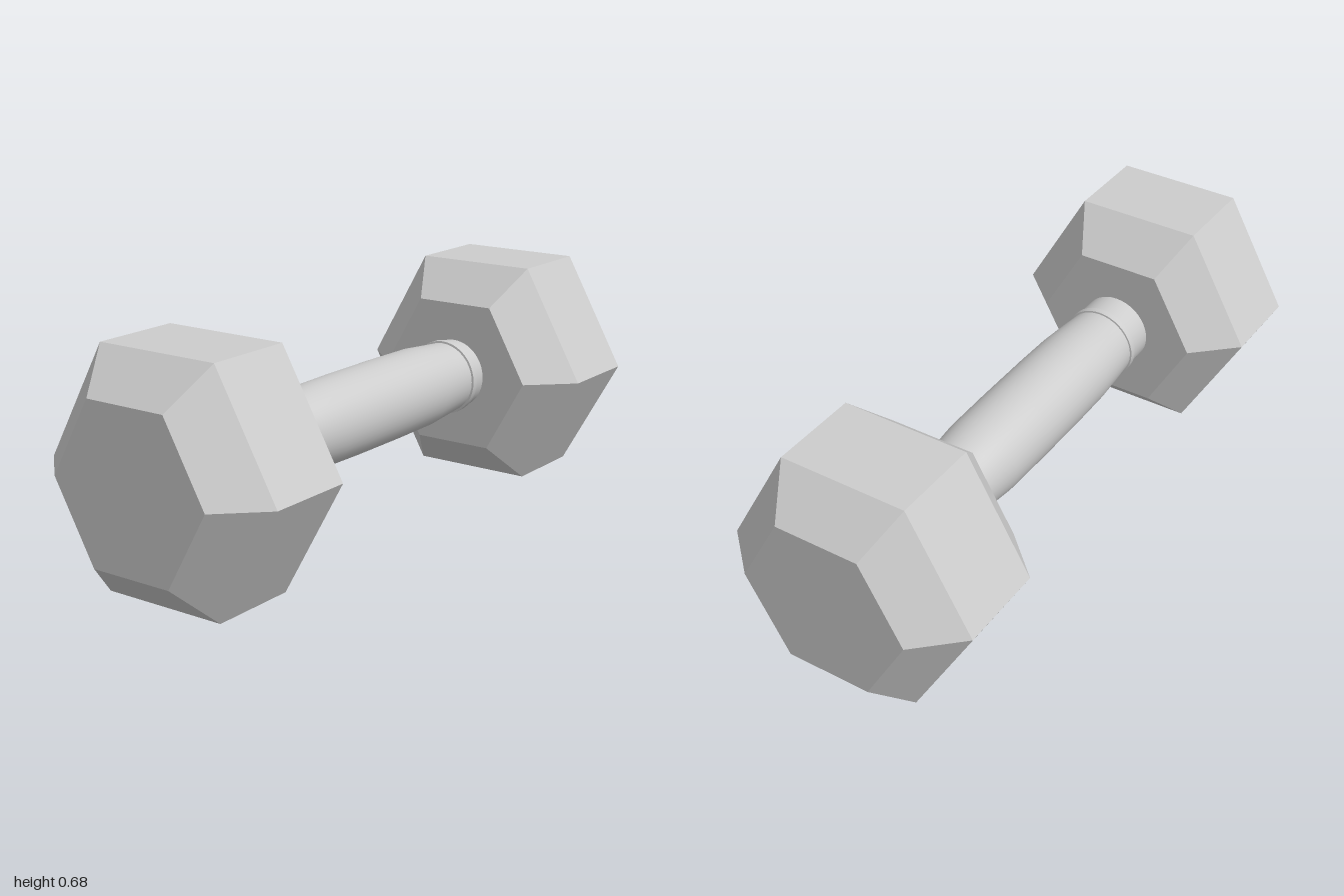
import * as THREE from 'three';
import { toCreasedNormals } from 'three/addons/utils/BufferGeometryUtils.js';

const CENTER_Y = 0.341;

// Revolve [x, radius] pairs around the x axis
function latheAlongX(profile, sides) {
  const points = profile.map(([x, r]) => new THREE.Vector2(r, x));
  return new THREE.LatheGeometry(points, sides).rotateZ(-Math.PI / 2);
}

export function createModel() {
  const model = new THREE.Group();
  model.name = 'dumbbell';
  const steel = new THREE.MeshStandardMaterial({ color: 0xcccccc });
  steel.name = 'grey steel';

  function addPart(name, geometry) {
    const mesh = new THREE.Mesh(geometry, steel);
    mesh.name = name;
    mesh.position.y = CENTER_Y;
    model.add(mesh);
  }

  // Hexagonal weights with bevelled ends, a corner pointing to front and back
  function addWeight(name, x0, x1, x2, x3) {
    const outline = [[x0, 0], [x0, 0.256], [x1, 0.384], [x2, 0.384], [x3, 0.256], [x3, 0]];
    const geometry = latheAlongX(outline, 6).scale(1, 0.341 / (0.384 * Math.sin(Math.PI / 3)), 1);
    addPart(name, toCreasedNormals(geometry, 0.1));
  }
  addWeight('rightWeight', -1, -0.88, -0.615, -0.495);
  addWeight('leftWeight', 0.492, 0.612, 0.88, 1);

  // Swelling grip, with a neck at each end
  const grip = latheAlongX([
    [-0.51, 0.111], [-0.39, 0.112], [-0.32, 0.118], [-0.23, 0.124], [-0.1, 0.126],
    [0.1, 0.126], [0.27, 0.124], [0.35, 0.117], [0.42, 0.111], [0.51, 0.109],
  ], 40);
  addPart('grip', toCreasedNormals(grip, 0.5));

  // Narrow raised collars between grip and necks
  for (const [name, x] of [['rightCollar', -0.402], ['leftCollar', 0.437]]) {
    const collar = latheAlongX([
      [x - 0.012, 0.105], [x - 0.01, 0.117], [x + 0.01, 0.117], [x + 0.012, 0.105],
    ], 40);
    addPart(name, toCreasedNormals(collar, 0.5));
  }
  return model;
}
